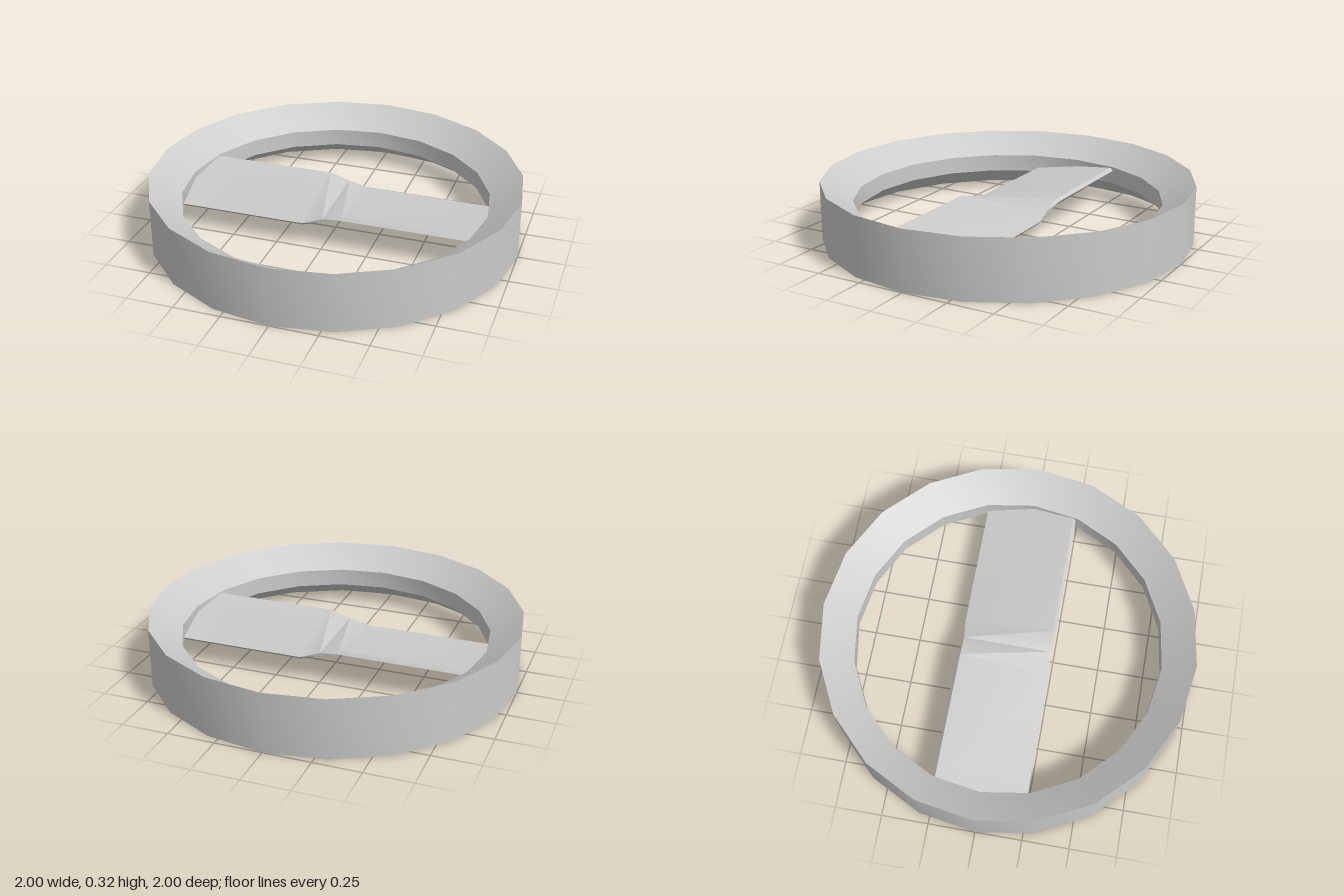
import * as THREE from 'three';
import { toCreasedNormals } from 'three/addons/utils/BufferGeometryUtils.js';

export function createModel() {
  const group = new THREE.Group();
  const material = new THREE.MeshStandardMaterial({ color: 0xcccccc });
  const add = (name, geometry) => {
    const mesh = new THREE.Mesh(toCreasedNormals(geometry, Math.PI / 6), material);
    mesh.name = name;
    group.add(mesh);
  };

  // Twenty-sided ring: straight outer wall, funnel slopes to a narrow inner wall
  const profile = [[1, 0], [1, 0.32], [0.83, 0.208], [0.83, 0.112], [1, 0]]
    .map(([r, y]) => new THREE.Vector2(r, y));
  add('ring', new THREE.LatheGeometry(profile, 20));

  // Thin crossbar: two blades tilted opposite ways, meeting in a flat narrow waist
  const stations = [[-0.85, -1], [-0.11, -1], [0, 0], [0.11, 1], [0.85, 1]]; // x, tilt
  const halfWidth = 0.235, flare = 0.015, slope = 0.14, halfThick = 0.009;
  const positions = [];
  for (const [x, s] of stations) {
    const up = flare * Math.max(s, 0), down = flare * Math.max(-s, 0);
    const corners = [
      [halfWidth + down, halfThick], // top front
      [-halfWidth - up, halfThick], // top back
      [-halfWidth - down, -halfThick], // bottom back
      [halfWidth + up, -halfThick], // bottom front
    ];
    for (const [z, y] of corners) positions.push(x, 0.16 + s * slope * z + y, z - 0.008);
  }
  const index = [];
  for (let i = 0; i < stations.length - 1; i++) {
    for (let j = 0; j < 4; j++) {
      const a = i * 4 + j, b = i * 4 + (j + 1) % 4;
      index.push(a, a + 4, b, b, a + 4, b + 4);
    }
  }
  // End caps, buried in the ring
  const e = (stations.length - 1) * 4;
  index.push(0, 1, 2, 0, 2, 3, e, e + 2, e + 1, e, e + 3, e + 2);
  const bar = new THREE.BufferGeometry();
  bar.setAttribute('position', new THREE.Float32BufferAttribute(positions, 3));
  bar.setIndex(index);
  add('twistedCrossbar', bar);

  return group;
}
